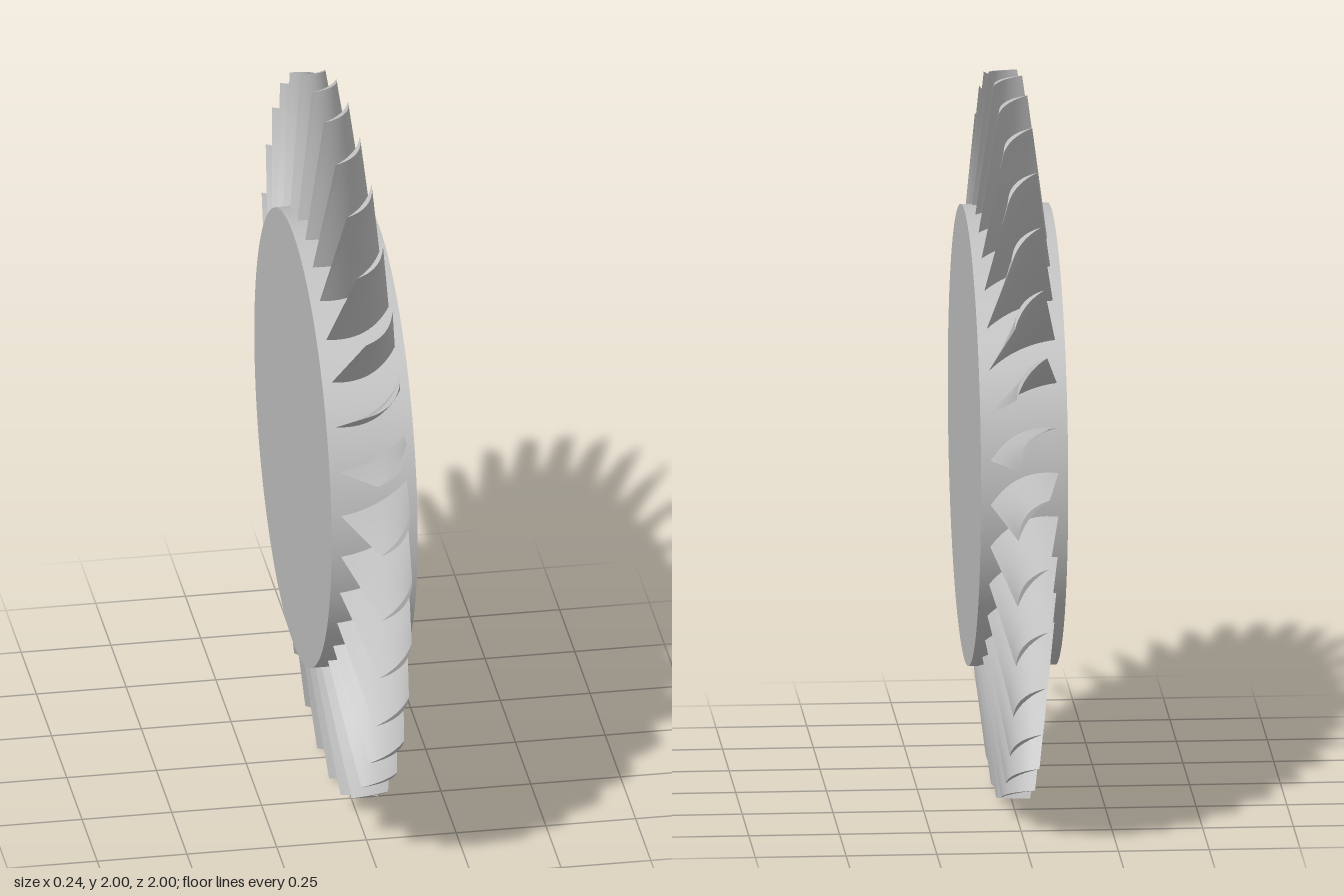
import * as THREE from 'three';

const BLADES = 32, HUB_R = 0.635, HUB_W = 0.24;

// Point on a blade section: s runs edge to edge (-1..1), side is +1 outer curve, -1 inner curve
function bladePoint(r, s, side) {
  const k = (r - HUB_R) / (1 - HUB_R);
  const cx = THREE.MathUtils.lerp(0.093, 0.043, k);   // half chord along the axle
  const ct = THREE.MathUtils.lerp(0.044, 0.057, k);   // half chord along the rim
  const camber = THREE.MathUtils.lerp(0.025, 0.02, k);
  const half = THREE.MathUtils.lerp(0.008, 0.006, k);
  const len = Math.hypot(cx, ct);
  const off = (camber + side * half) * (1 - s * s);
  return [cx * s + off * ct / len, r, -ct * s + off * cx / len];
}

// Twisted, tapered, cambered blade pointing along +y
function bladeGeometry() {
  const N = 14, M = 6, R0 = 0.61;
  const pos = [], idx = [];
  const s = j => -1 + 2 * j / N;
  for (const side of [1, -1]) {
    const base = pos.length / 3;
    for (let i = 0; i <= M; i++)
      for (let j = 0; j <= N; j++) pos.push(...bladePoint(R0 + (1 - R0) * i / M, s(j), side));
    for (let i = 0; i < M; i++)
      for (let j = 0; j < N; j++) {
        const a = base + i * (N + 1) + j, b = a + 1, c = a + N + 1, d = c + 1;
        if (side > 0) idx.push(a, b, d, a, d, c);
        else idx.push(a, d, b, a, c, d);
      }
  }
  // Tip cap
  const cap = pos.length / 3;
  for (let j = 0; j <= N; j++) pos.push(...bladePoint(1, s(j), -1), ...bladePoint(1, s(j), 1));
  for (let j = 0; j < N; j++) {
    const l = cap + 2 * j, u = l + 1;
    idx.push(l, u, u + 2, l, u + 2, l + 2);
  }
  const g = new THREE.BufferGeometry();
  g.setAttribute('position', new THREE.Float32BufferAttribute(pos, 3));
  g.setIndex(idx);
  g.computeVertexNormals();
  return g;
}

export function createModel() {
  const metal = new THREE.MeshStandardMaterial({ color: 0xc0c0c0 });
  metal.name = 'grey metal';

  const model = new THREE.Group();
  model.name = 'turbineWheel';
  model.position.y = 1;

  // Solid hub, axle along x
  const hub = new THREE.Mesh(new THREE.CylinderGeometry(HUB_R, HUB_R, HUB_W, 96), metal);
  hub.rotation.z = Math.PI / 2;
  hub.name = 'hub';
  model.add(hub);

  // Ring of blades
  const blades = new THREE.Group();
  blades.name = 'blades';
  const geo = bladeGeometry();
  for (let i = 0; i < BLADES; i++) {
    const blade = new THREE.Mesh(geo, metal);
    blade.name = 'blade' + (i + 1);
    blade.rotation.x = i * 2 * Math.PI / BLADES;
    blades.add(blade);
  }
  model.add(blades);

  const root = new THREE.Group();
  root.name = 'model';
  root.add(model);
  return root;
}
